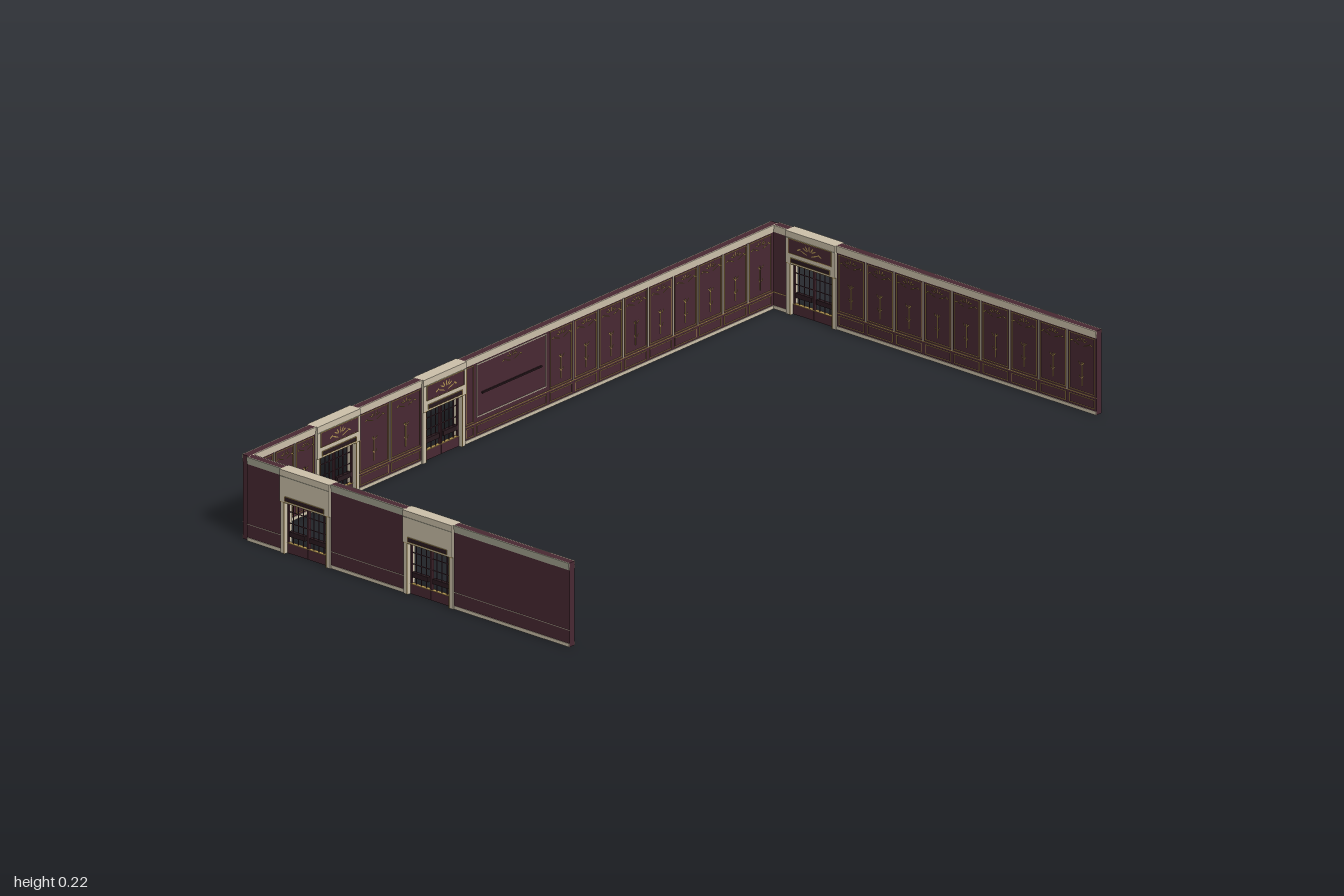
import * as THREE from 'three';

const mat = (name, color, double = false) => {
  const m = new THREE.MeshStandardMaterial({ color });
  m.name = name;
  if (double) m.side = THREE.DoubleSide;
  return m;
};

export function createModel() {
  const burgundy = mat('burgundy', 0x492933);
  const stone = mat('stone', 0xcdc2ab);
  const trim = mat('trim', 0xa3a28f);
  const gold = mat('gold', 0xae9150, true);
  const dark = mat('dark', 0x2a1a1f);

  const H = 0.222, T = 0.009; // wall height, half thickness

  // Box given by its limits
  function box(parent, name, m, x0, x1, y0, y1, z0, z1) {
    const mesh = new THREE.Mesh(new THREE.BoxGeometry(x1 - x0, y1 - y0, z1 - z0), m);
    mesh.position.set((x0 + x1) / 2, (y0 + y1) / 2, (z0 + z1) / 2);
    mesh.name = name;
    parent.add(mesh);
  }

  // Thin rectangular moulding
  function frame(parent, name, m, x0, x1, y0, y1, z, w) {
    const s = new THREE.Shape([[x0, y0], [x1, y0], [x1, y1], [x0, y1]].map(p => new THREE.Vector2(...p)));
    s.holes.push(new THREE.Path([[x0 + w, y0 + w], [x0 + w, y1 - w], [x1 - w, y1 - w], [x1 - w, y0 + w]]
      .map(p => new THREE.Vector2(...p))));
    const mesh = new THREE.Mesh(new THREE.ExtrudeGeometry(s, { depth: 0.0015, bevelEnabled: false }), m);
    mesh.position.z = z;
    mesh.name = name;
    parent.add(mesh);
  }

  // Flat leaf, used by all the gilded ornaments
  function leaf(parent, x, y, z, length, width, angle) {
    const mesh = new THREE.Mesh(new THREE.CircleGeometry(0.5, 8), gold);
    mesh.scale.set(length, width, 1);
    mesh.rotation.z = angle;
    mesh.position.set(x, y, z);
    mesh.name = 'leaf';
    parent.add(mesh);
  }

  // Fan of leaves with a scroll to each side
  function fan(parent, x, y, z, w) {
    const g = new THREE.Group();
    g.name = 'fanOrnament';
    for (let i = 0; i < 5; i++) {
      const a = Math.PI * (0.14 + 0.18 * i);
      leaf(g, x + Math.cos(a) * w * 0.2, y + Math.sin(a) * 0.008, z, w * 0.2, 0.0035, a);
    }
    for (const s of [-1, 1]) {
      leaf(g, x + s * w * 0.22, y - 0.006, z, w * 0.32, 0.003, s * 0.35);
      leaf(g, x + s * w * 0.42, y - 0.002, z, w * 0.18, 0.004, -s * 0.5);
    }
    parent.add(g);
  }

  // Hanging gilded drop on a panel
  function drop(parent, x, z) {
    const g = new THREE.Group();
    g.name = 'wallDrop';
    box(g, 'dropStem', gold, x - 0.0008, x + 0.0008, 0.065, 0.128, z, z + 0.002);
    for (const s of [-1, 1]) {
      leaf(g, x + s * 0.006, 0.125, z + 0.003, 0.014, 0.0035, s * 0.9);
      leaf(g, x + s * 0.005, 0.09, z + 0.003, 0.012, 0.003, s * 1.1);
    }
    parent.add(g);
  }

  // One panelled stretch of the inner face
  function panel(parent, x0, x1, large = false) {
    const g = new THREE.Group(), w = x1 - x0, c = (x0 + x1) / 2;
    g.name = large ? 'largePanel' : 'panel';
    frame(g, 'panelMoulding', large ? stone : gold, x0 + 0.006, x1 - 0.006, large ? 0.058 : 0.05, 0.199, T, large ? 0.0025 : 0.0013);
    frame(g, 'lowerMoulding', gold, x0 + 0.006, x1 - 0.006, 0.014, 0.038, T, 0.001);
    if (w > 0.06) fan(g, c, 0.182, T + 0.003, Math.min(w * 0.8, 0.075));
    if (large) box(g, 'shelfLine', dark, x0 + 0.025, x1 - 0.025, 0.117, 0.121, T, T + 0.004);
    else if (w > 0.06) drop(g, c, T);
    parent.add(g);
  }

  // Solid stretch of wall with trim on both faces
  function stretch(parent, x0, x1) {
    const g = new THREE.Group();
    g.name = 'wallStretch';
    box(g, 'wallBody', burgundy, x0, x1, 0, H, -T, T);
    for (const s of [-1, 1]) {
      const strip = (name, m, y0, y1, d) =>
        box(g, name, m, x0, x1, y0, y1, s > 0 ? T : -T - d, s > 0 ? T + d : -T);
      strip('corniceUpper', s > 0 ? stone : trim, 0.212, H, 0.003);
      strip('corniceLower', s > 0 ? stone : trim, 0.203, 0.2115, 0.0015);
      strip('baseboard', stone, 0, 0.009, 0.0015);
      strip('dadoLine', s > 0 ? gold : stone, 0.0435, s > 0 ? 0.0455 : 0.0448, 0.001);
    }
    parent.add(g);
  }

  // Double glazed door in a stone surround, open between the glazing bars
  function door(parent, c) {
    const g = new THREE.Group(), D = 0.017;
    g.name = 'doorway';
    g.position.x = c;
    box(g, 'header', stone, -0.08, 0.08, 0.138, H, -D, D);
    for (const s of [-1, 1]) {
      // lines, transom plate and gilded edges on both faces
      box(g, 'headerLine', trim, -0.08, 0.08, 0.204, 0.2055, s * (D + 0.0005) - 0.0005, s * (D + 0.0005) + 0.0005);
      box(g, 'transom', dark, -0.063, 0.063, 0.142, 0.153, s * (D + 0.0005) - 0.0005, s * (D + 0.0005) + 0.0005);
      frame(g, 'transomFrame', gold, -0.064, 0.064, 0.141, 0.154, s * (D + 0.001) - 0.00075, 0.0012);
      box(g, 'transomSill', gold, -0.079, 0.079, 0.136, 0.138, s * 0.0155 - 0.001, s * 0.0155 + 0.001);
      box(g, 'post', stone, s * 0.073 - 0.007, s * 0.073 + 0.007, 0, 0.138, -0.014, 0.014);
      for (const f of [-1, 1])
        box(g, 'postEdge', gold, s * 0.068 - 0.001, s * 0.068 + 0.001, 0, 0.135, f * 0.014 - 0.001, f * 0.014 + 0.001);
      // door leaf
      const a = s > 0 ? 0.0005 : -0.066, b = s > 0 ? 0.066 : -0.0005;
      box(g, 'kickPanel', burgundy, a, b, 0, 0.027, -0.004, 0.004);
      box(g, 'topRail', burgundy, a, b, 0.132, 0.138, -0.003, 0.003);
      for (const x of [a, b - 0.003]) box(g, 'stile', burgundy, x, x + 0.003, 0.027, 0.132, -0.003, 0.003);
      for (let i = 1; i < 4; i++) {
        const x = a + (b - a) * i / 4;
        box(g, 'glazingBar', burgundy, x - 0.0009, x + 0.0009, 0.027, 0.132, -0.001, 0.001);
      }
      for (const y of [0.078, 0.108]) box(g, 'glazingRail', burgundy, a, b, y, y + 0.0016, -0.001, 0.001);
      box(g, 'pushBar', dark, a + 0.008, b - 0.006, 0.045, 0.058, -0.005, 0.005);
      box(g, 'kickLine', gold, a, b, 0.026, 0.0272, -0.005, 0.005);
    }
    // panel over the door on the inner face
    box(g, 'overdoorPanel', burgundy, -0.069, 0.069, 0.166, 0.204, D, D + 0.002);
    frame(g, 'overdoorFrame', gold, -0.07, 0.07, 0.165, 0.205, D + 0.001, 0.0015);
    fan(g, 0, 0.185, D + 0.004, 0.08);
    parent.add(g);
  }

  // Wall from stretches [x0, x1, panel count] and door centres, inner face towards +z
  function wall(name, stretches, doors) {
    const g = new THREE.Group();
    g.name = name;
    for (const [x0, x1, n, p0 = x0, p1 = x1] of stretches) {
      stretch(g, x0, x1);
      const w = n ? (p1 - p0) / n : 0;
      for (let i = 0; i < n; i++) {
        const x = p0 + i * w;
        panel(g, x, x + w);
        if (i) box(g, 'panelDivider', stone, x - 0.0015, x + 0.0015, 0.0455, 0.203, T, T + 0.002);
      }
    }
    doors.forEach(c => door(g, c));
    return g;
  }

  const model = new THREE.Group();
  model.name = 'panelledRoom';

  const back = wall('backWall', [
    [-0.987, -0.738, 3, -0.968, -0.738],
    [-0.578, -0.342, 2],
    [-0.182, 0.987, 9, 0.132, 0.968],
  ], [-0.658, -0.262]);
  panel(back, -0.18, -0.142);
  panel(back, -0.142, 0.13, true);
  back.position.z = -0.52;

  const right = wall('rightWall', [
    [-0.53, -0.155, 4],
    [0, 0.24, 3],
    [0.4, 0.511, 1],
  ], [-0.0775, 0.32]);
  right.rotation.y = Math.PI / 2;
  right.position.x = -0.982;

  const left = wall('leftWall', [
    [-0.511, -0.466, 0],
    [-0.306, 0.532, 9],
  ], [-0.386]);
  left.rotation.y = -Math.PI / 2;
  left.position.x = 0.982;

  model.add(back, right, left);
  return model;
}
